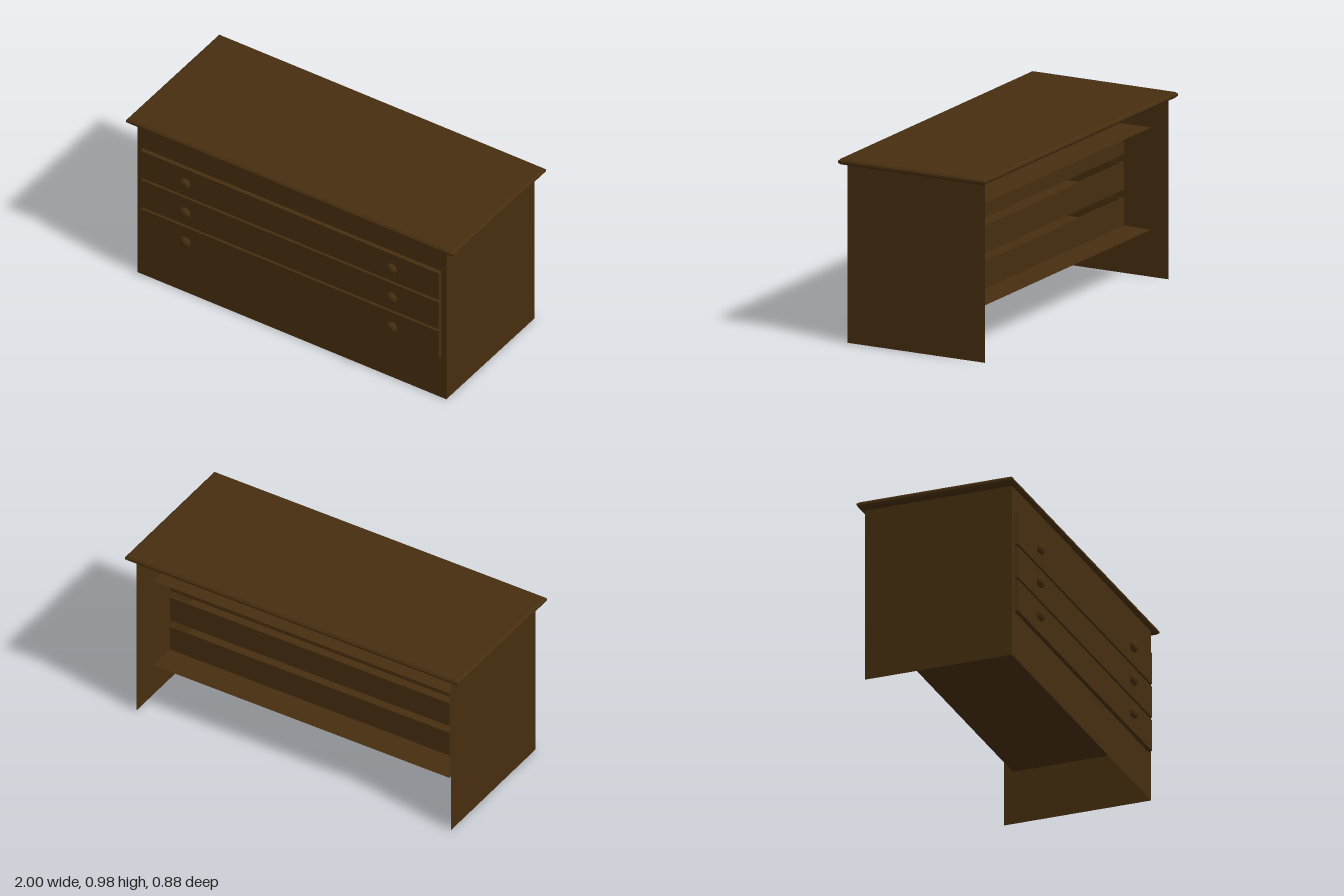
import * as THREE from 'three';

export function createModel() {
  const model = new THREE.Group();
  model.name = 'chestOfDrawers';
  const wood = new THREE.MeshStandardMaterial({ color: 0x462e0f, side: THREE.DoubleSide });
  wood.name = 'darkWood';

  const add = (parent, name, geometry, x = 0, y = 0, z = 0) => {
    const mesh = new THREE.Mesh(geometry, wood);
    mesh.name = name;
    mesh.position.set(x, y, z);
    parent.add(mesh);
    return mesh;
  };
  const rect = (Type, x0, y0, x1, y1) =>
    new Type([[x0, y0], [x1, y0], [x1, y1], [x0, y1]].map(p => new THREE.Vector2(...p)));
  // box from its lower and upper limits
  const block = (parent, name, x0, x1, y0, y1, z0, z1) =>
    add(parent, name, new THREE.BoxGeometry(x1 - x0, y1 - y0, z1 - z0),
      (x0 + x1) / 2, (y0 + y1) / 2, (z0 + z1) / 2);

  const front = 0.39, back = -0.415, halfWidth = 0.945, height = 0.95;
  const open = { x: 0.89, y0: 0.265, y1: 0.802, back: -0.345 };

  // Table top with chamfered edges
  const top = new THREE.ExtrudeGeometry(rect(THREE.Shape, -0.99, -0.403, 0.99, 0.43),
    { depth: 0.01, bevelThickness: 0.01, bevelSize: 0.01, bevelSegments: 1 });
  top.rotateX(-Math.PI / 2);
  add(model, 'top', top, 0, 0.957, 0);

  // Front frame with the drawer opening
  const frame = rect(THREE.Shape, -halfWidth, 0, halfWidth, height);
  frame.holes.push(rect(THREE.Path, -open.x, open.y0, open.x, open.y1));
  add(model, 'frontFrame', new THREE.ShapeGeometry(frame), 0, 0, front);

  // Thin sides, and the liner running back from the opening
  const linerDepth = front - open.back, linerZ = (front + open.back) / 2;
  for (const s of [-1, 1]) {
    const side = new THREE.PlaneGeometry(front - back, height).rotateY(s * Math.PI / 2);
    add(model, 'sidePanel', side, s * halfWidth, height / 2, (front + back) / 2);
    const wall = new THREE.PlaneGeometry(linerDepth, open.y1 - open.y0).rotateY(-s * Math.PI / 2);
    add(model, 'linerSide', wall, s * open.x, (open.y0 + open.y1) / 2, linerZ);
  }
  for (const [name, y, s] of [['linerFloor', open.y0, -1], ['linerCeiling', open.y1, 1]]) {
    add(model, name, new THREE.PlaneGeometry(2 * open.x, linerDepth).rotateX(s * Math.PI / 2), 0, y, linerZ);
  }

  // Drawer face tapering toward the front
  const faceHeight = 0.183;
  const face = new THREE.BoxGeometry(1.83, faceHeight, 0.018);
  const p = face.attributes.position;
  for (let i = 0; i < p.count; i++) {
    if (p.getZ(i) > 0) {
      p.setX(i, p.getX(i) - Math.sign(p.getX(i)) * 0.006);
      p.setY(i, p.getY(i) - Math.sign(p.getY(i)) * 0.005);
    }
  }
  face.computeVertexNormals();

  // Round faceted knob
  const profile = [[0.02, 0], [0.022, 0.004], [0.032, 0.012], [0.027, 0.026], [0.015, 0.033], [0, 0.034]];
  const lathe = new THREE.LatheGeometry(profile.map(q => new THREE.Vector2(...q)), 12);
  const knob = lathe.rotateX(Math.PI / 2).toNonIndexed();
  knob.computeVertexNormals();

  // Three open-topped drawers
  for (let i = 0; i < 3; i++) {
    const drawer = new THREE.Group();
    drawer.name = 'drawer';
    drawer.position.y = 0.255 + 0.187 * i;
    model.add(drawer);
    const w = 0.885, y0 = 0.014, y1 = 0.158, z0 = -0.19, t = 0.01;
    add(drawer, 'drawerFace', face, 0, faceHeight / 2, front + 0.009);
    block(drawer, 'drawerFloor', -w, w, y0, y0 + t, z0, front);
    block(drawer, 'drawerBack', -w, w, y0, y1, z0, z0 + t);
    for (const s of [-1, 1]) {
      const outer = s * w, inner = s * (w - t);
      block(drawer, 'drawerSide', Math.min(outer, inner), Math.max(outer, inner), y0, y1, z0, front);
      add(drawer, 'knob', knob, s * 0.632, 0.095, front + 0.017);
    }
  }
  return model;
}
